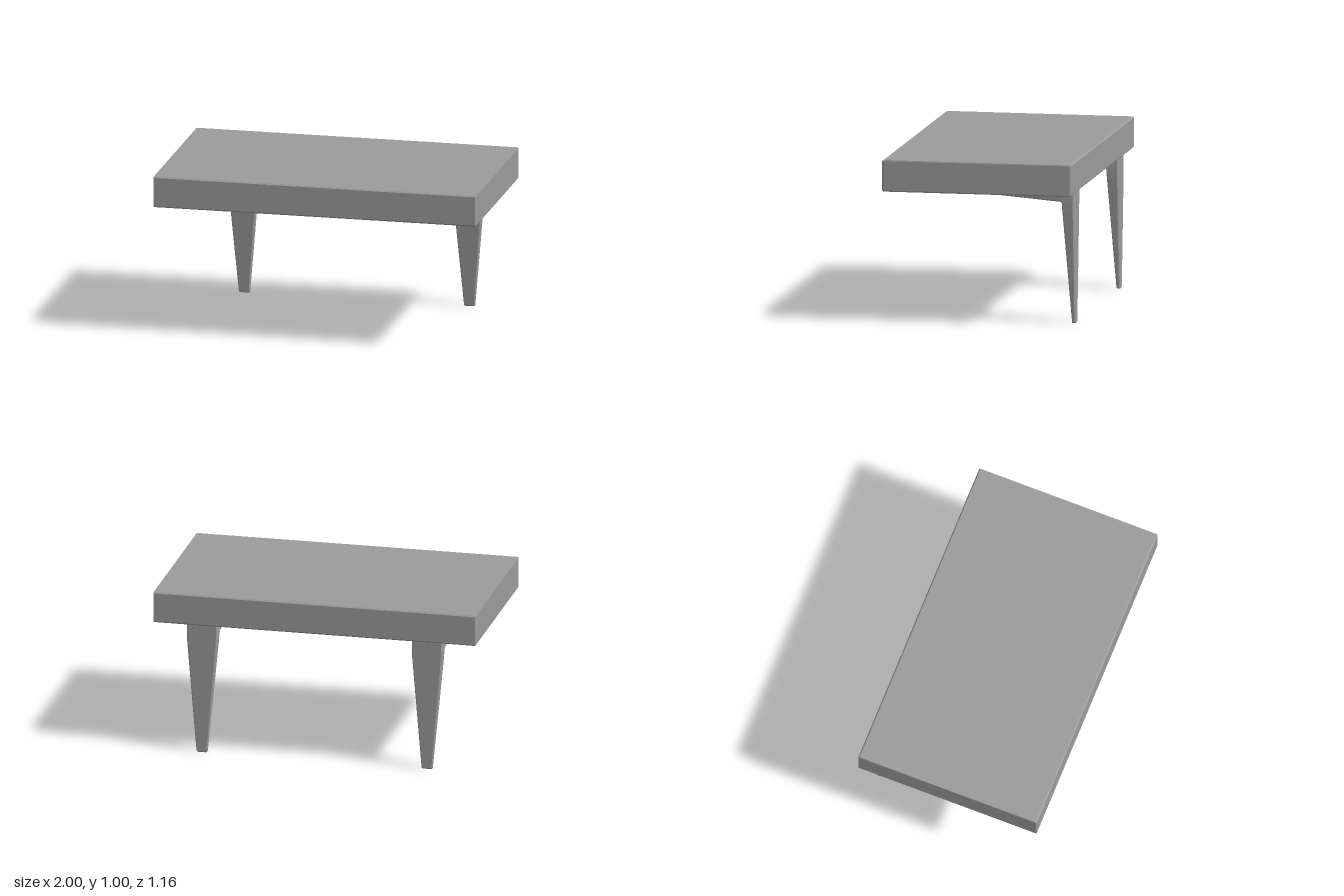
import * as THREE from 'three';

const material = new THREE.MeshStandardMaterial({ color: 0x9c9c9c, flatShading: true });

// Rectangle with bevelled corners, as [u, v] points counter-clockwise
function bevelled(u0, u1, v0, v1, b) {
  return [[u0 + b, v0], [u1 - b, v0], [u1, v0 + b], [u1, v1 - b],
    [u1 - b, v1], [u0 + b, v1], [u0, v1 - b], [u0, v0 + b]];
}

// Slab: bevelled profile extruded along x, with very shallow bevels at the ends
function createSlab() {
  const shape = new THREE.Shape(
    bevelled(-0.58, 0.58, 0.812, 1.005, 0.008).map(([u, v]) => new THREE.Vector2(u, v)));
  const geometry = new THREE.ExtrudeGeometry(shape, {
    depth: 1.996, bevelThickness: 0.002, bevelSize: 0.007, bevelOffset: -0.007, bevelSegments: 1,
  });
  geometry.translate(0, 0, -0.998).rotateY(Math.PI / 2);
  const mesh = new THREE.Mesh(geometry, material);
  mesh.name = 'shelfSlab';
  return mesh;
}

// Bracket: cross-sections swept up the leg, round the corner and along the arm.
// Each row: outer z, outer y, inner z, inner y, half width
function createBracket() {
  const rows = [
    [-0.558, 0, -0.541, 0, 0.03],
    [-0.56, 0.006, -0.538, 0.006, 0.034],
    [-0.56, 0.7, -0.489, 0.7, 0.092],
    [-0.56, 0.76, -0.487, 0.736, 0.094],
    [-0.56, 0.815, -0.483, 0.747, 0.094],
    [-0.49, 0.815, -0.473, 0.75, 0.094],
    [-0.42, 0.815, -0.42, 0.753, 0.09],
    [0.26, 0.815, 0.26, 0.798, 0.03],
  ];
  const positions = [];
  const index = [];
  const n = 8;
  for (const [oz, oy, iz, iy, w] of rows) {
    const thickness = Math.hypot(iz - oz, iy - oy);
    for (const [x, t] of bevelled(-w, w, 0, thickness, 0.006)) {
      const k = t / thickness;
      positions.push(x, oy + (iy - oy) * k, oz + (iz - oz) * k);
    }
  }
  for (let r = 0; r < rows.length - 1; r++) {
    for (let i = 0; i < n; i++) {
      const a = r * n + i, b = r * n + (i + 1) % n;
      index.push(a, a + n, b, b, a + n, b + n);
    }
  }
  // End caps
  const last = (rows.length - 1) * n;
  for (let i = 1; i < n - 1; i++) {
    index.push(0, i, i + 1, last, last + i + 1, last + i);
  }
  const geometry = new THREE.BufferGeometry();
  geometry.setAttribute('position', new THREE.Float32BufferAttribute(positions, 3));
  geometry.setIndex(index);
  const flat = geometry.toNonIndexed();
  flat.computeVertexNormals();
  return new THREE.Mesh(flat, material);
}

export function createModel() {
  const model = new THREE.Group();
  model.name = 'bracketShelf';
  model.add(createSlab());
  for (const [name, x] of [['leftBracket', 0.703], ['rightBracket', -0.695]]) {
    const bracket = createBracket();
    bracket.name = name;
    bracket.position.x = x;
    model.add(bracket);
  }
  return model;
}
